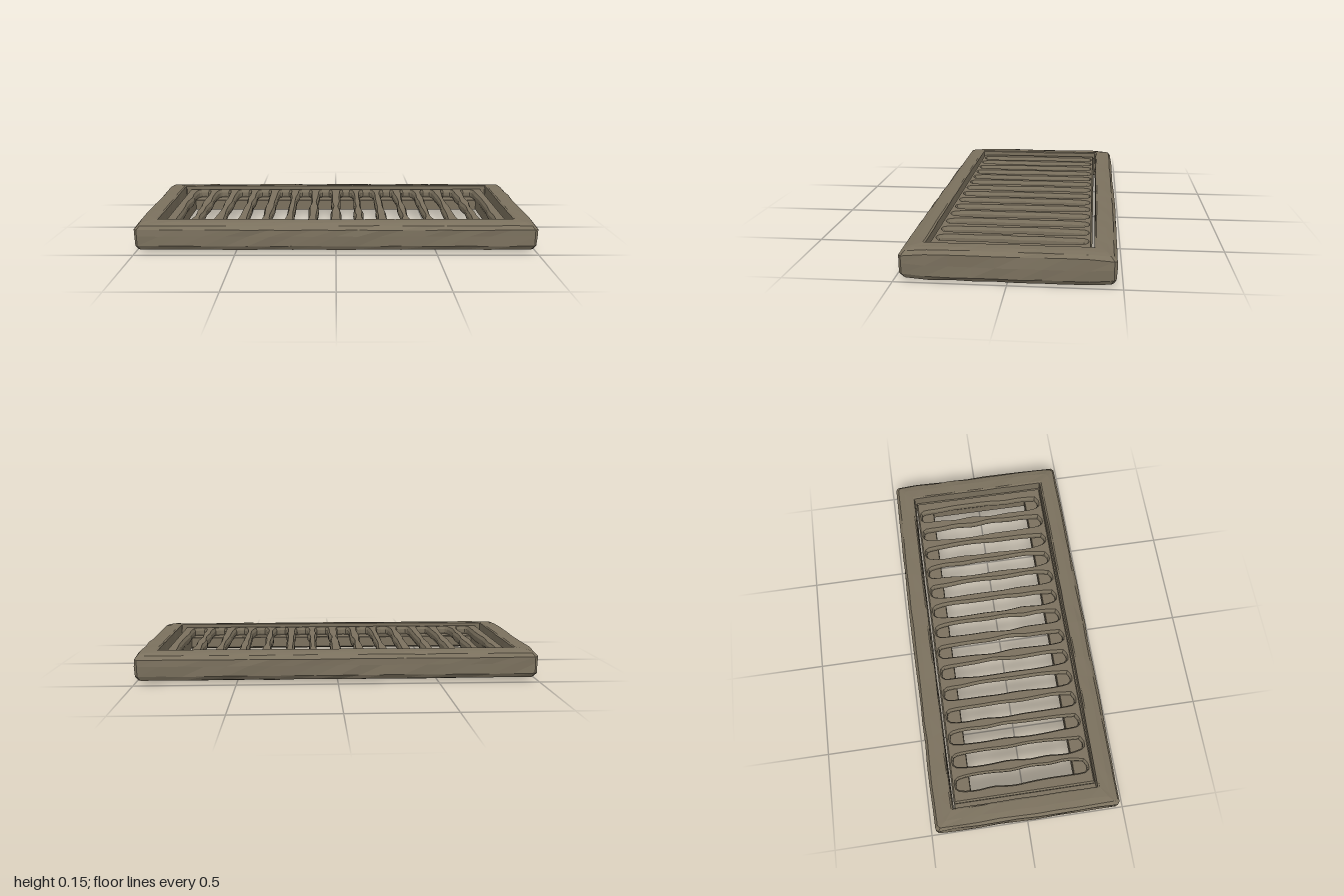
import * as THREE from 'three';

// Repeatable noise in -1..1
function noise(a, b = 0) {
  const s = Math.sin(a * 127.1 + b * 311.7 + 17.3) * 43758.5453;
  return (s - Math.floor(s)) * 2 - 1;
}

// Outer frame: a worn cross-section swept around a rectangle
function frameGeometry() {
  const section = [ // inset from the outer edge, height
    [0.1, 0.15], [0.092, 0.155], [0.045, 0.154], [0.014, 0.149], [0, 0.132], [0, 0.08],
    [0, 0.03], [0.014, 0.01], [0.045, 0.004], [0.092, 0.002], [0.1, 0.008], [0.1, 0.08],
  ];
  const sides = [[0, 1, 18], [1, 0, 9], [0, -1, 18], [-1, 0, 9]]; // outward x, z, steps
  const positions = [], index = [], n = section.length;
  let station = 0;
  for (const [nx, nz, steps] of sides) {
    for (let k = 0; k <= steps; k++, station++) {
      const t = (k / steps) * 2 - 1;
      section.forEach(([d, y], j) => {
        const cut = d < 0.09 ? 0.013 : 0.003; // blunted corners
        const hx = 0.997 - d, hz = 0.472 - d;
        const wear = j > 1 && j < 9 ? 0.003 : 0.0015;
        const push = noise(station, j) * wear;
        const x = nx ? nx * (hx + push) : nz * t * (hx - cut);
        const z = nz ? nz * (hz + push + 0.004 * (1 - t * t)) : -nx * t * (hz - cut);
        // the long sides fall away slightly towards their outer edges
        const fall = Math.max(0, Math.abs(z) - 0.37) * 0.09;
        const level = y + (y > 0.08 ? -fall : fall) + noise(j + 40, station) * wear * 0.5;
        positions.push(x, Math.max(0, level), z);
      });
    }
  }
  for (let i = 0; i < station; i++) {
    for (let j = 0; j < n; j++) {
      const i2 = (i + 1) % station, j2 = (j + 1) % n;
      const a = i * n + j, b = i2 * n + j, c = i * n + j2, d = i2 * n + j2;
      index.push(a, c, b, b, c, d);
    }
  }
  const geo = new THREE.BufferGeometry();
  geo.setAttribute('position', new THREE.Float32BufferAttribute(positions, 3));
  geo.setIndex(index);
  geo.computeVertexNormals();
  return geo;
}

function rect(Type, x0, x1, z0, z1) {
  return new Type([[x0, -z0], [x0, -z1], [x1, -z1], [x1, -z0]].map(p => new THREE.Vector2(...p)));
}

// Extrude a plan shape upwards from y0 to y1 with worn bevels
function slab(shape, y0, y1, bevelSize, bevelThickness) {
  const geo = new THREE.ExtrudeGeometry(shape, {
    depth: y1 - y0 - 2 * bevelThickness, bevelEnabled: true, bevelThickness,
    bevelSize, bevelOffset: -bevelSize, bevelSegments: 1,
  });
  geo.rotateX(-Math.PI / 2);
  geo.translate(0, y0 + bevelThickness, 0);
  return geo;
}

// One wobbly slot with rounded ends
function slot(cx, seed) {
  const rows = [-0.325, -0.24, -0.15, -0.05, 0.05, 0.15, 0.24, 0.325];
  const side = s => rows.map((z, k) => {
    const end = k === 0 || k === rows.length - 1;
    const half = (end ? 0.029 : 0.037) + noise(seed * 2 + s, k) * (end ? 0.002 : 0.006);
    return new THREE.Vector2(cx + s * half, z);
  });
  const points = [...side(1), new THREE.Vector2(cx, 0.34), ...side(-1).reverse(), new THREE.Vector2(cx, -0.34)];
  return new THREE.Path(new THREE.SplineCurve([...points, points[0]]).getPoints(44).slice(0, -1));
}

export function createModel() {
  const iron = new THREE.MeshStandardMaterial({ color: 0x7b715e, flatShading: true });
  iron.name = 'weathered iron';
  const group = new THREE.Group();
  group.name = 'drainGrate';
  const add = (name, geo) => {
    const mesh = new THREE.Mesh(geo, iron);
    mesh.name = name;
    group.add(mesh);
  };

  add('outerFrame', frameGeometry());

  // Thin barred plate set just below the rim
  const plate = rect(THREE.Shape, -0.872, 0.872, -0.363, 0.366);
  for (let i = 0; i < 14; i++) plate.holes.push(slot((i - 6.5) * 0.12, i));
  add('barredPlate', slab(plate, 0.083, 0.135, 0.008, 0.016));

  // Supporting ledge under the bar ends, open only along the back of the frame
  const ledge = rect(THREE.Shape, -0.902, 0.902, -0.363, 0.38);
  ledge.holes.push(rect(THREE.Path, -0.825, 0.825, -0.27, 0.27));
  add('supportLedge', slab(ledge, 0.03, 0.09, 0.003, 0.003));

  return group;
}
